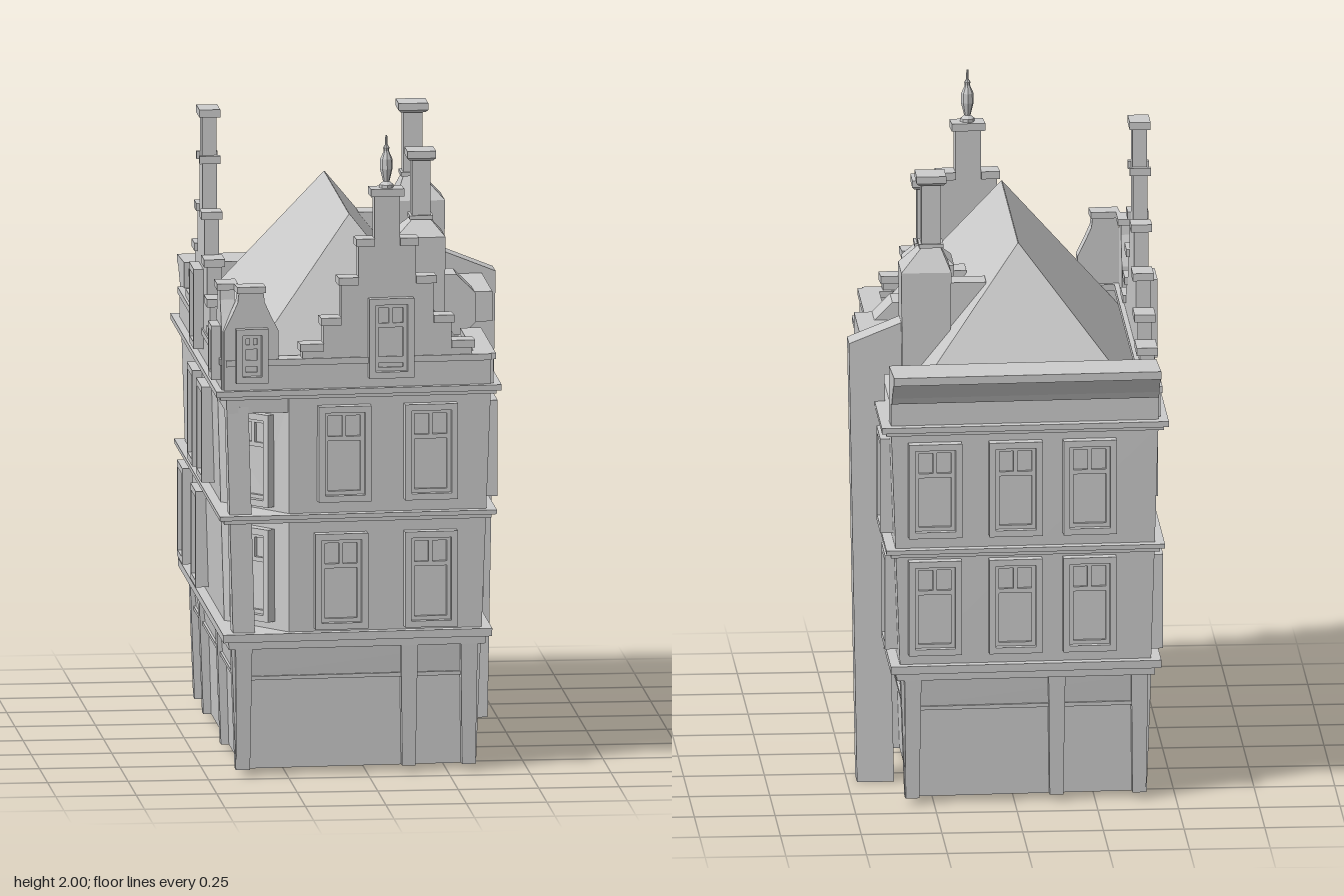
import * as THREE from 'three';

const material = new THREE.MeshStandardMaterial({ color: 0xcccccc, flatShading: true });

// Slightly skewed house outline that widens with height: front-right, front-left, back corners
function outline(y, out = 0) {
  const k = y / 1.2, l = -0.41 - 0.035 * k - out, r = 0.34 + 0.045 * k + out;
  return [
    [l, 0.70 + 0.015 * k + out], [r, 0.66 + 0.01 * k + out],
    [r, -0.645 - 0.02 * k - out], [l, -0.615 - 0.02 * k - out],
  ];
}
const rect = (x0, x1, z0, z1) => [[x0, z1], [x1, z1], [x1, z0], [x0, z0]];

// Solid through convex [x, z] rings, given as [y, ring]
function loft(rings) {
  const pos = [], n = rings[0][1].length;
  const put = (r, i) => pos.push(rings[r][1][i % n][0], rings[r][0], rings[r][1][i % n][1]);
  for (let r = 0; r < rings.length - 1; r++) {
    for (let i = 0; i < n; i++) {
      put(r, i); put(r, i + 1); put(r + 1, i + 1);
      put(r, i); put(r + 1, i + 1); put(r + 1, i);
    }
  }
  const top = rings.length - 1;
  for (let i = 1; i < n - 1; i++) {
    put(top, 0); put(top, i); put(top, i + 1);
    put(0, 0); put(0, i + 1); put(0, i);
  }
  const g = new THREE.BufferGeometry();
  g.setAttribute('position', new THREE.Float32BufferAttribute(pos, 3));
  g.computeVertexNormals();
  return g;
}

function add(parent, name, geometry) {
  const m = new THREE.Mesh(geometry, material);
  m.name = name;
  parent.add(m);
  return m;
}
function box(parent, name, x0, x1, y0, y1, z0, z1) {
  const m = add(parent, name, new THREE.BoxGeometry(x1 - x0, y1 - y0, z1 - z0));
  m.position.set((x0 + x1) / 2, (y0 + y1) / 2, (z0 + z1) / 2);
  return m;
}
function extrude(points, depth, hole) {
  const toVec = (p) => p.map(([x, y]) => new THREE.Vector2(x, y));
  const s = new THREE.Shape(toVec(points));
  if (hole) s.holes.push(new THREE.Path(toVec(hole)));
  return new THREE.ExtrudeGeometry(s, { depth, bevelEnabled: false });
}

// Group on a wall: local x runs along the wall, local z points outward
const SIDES = ['front', 'right', 'back', 'left'];
function onWall(parent, name, side, coord, wallY, y = 0) {
  const o = outline(wallY), i = SIDES.indexOf(side), a = o[i], b = o[(i + 1) % 4];
  const axis = i % 2, t = (coord - a[axis]) / (b[axis] - a[axis]);
  const g = new THREE.Group();
  g.name = name;
  g.position.set(a[0] + (b[0] - a[0]) * t, y, a[1] + (b[1] - a[1]) * t);
  g.rotation.y = Math.atan2(-(b[1] - a[1]), b[0] - a[0]);
  parent.add(g);
  return g;
}

// Deep frame, glass, crossbar and upper mullion
function fillWindow(g, w, h) {
  const r = (a, b) => [[-a, -b], [a, -b], [a, b], [-a, b]];
  add(g, 'windowFrame', extrude(r(w / 2, h / 2), 0.06, r(w / 2 - 0.02, h / 2 - 0.02))).position.z = -0.025;
  const a = w / 2 - 0.02, b = h / 2 - 0.02;
  add(g, 'sash', extrude(r(a, b), 0.025, r(a - 0.012, b - 0.012))).position.z = -0.01;
  box(g, 'glass', -a, a, -b, b, -0.015, 0.003);
  box(g, 'crossbar', -a, a, b * 0.3, b * 0.3 + 0.014, 0, 0.015);
  box(g, 'mullion', -0.006, 0.006, b * 0.3, b, 0, 0.015);
}
const addWindow = (parent, side, coord, y, w = 0.165, h = 0.3) =>
  fillWindow(onWall(parent, 'window', side, coord, y, y), w, h);

// Stepped gable from [halfWidth, topY] pairs, narrowest first
function steppedGable(parent, name, side, coord, steps) {
  const g = onWall(parent, name, side, coord, 1.2);
  const half = [];
  let prev = 0;
  steps.forEach(([w, y], i) => {
    if (i) half.push([prev, y]);
    half.push([w, y]);
    prev = w;
  });
  half.push([prev, 1.2]);
  const pts = [...half, ...half.map(([x, y]) => [-x, y]).reverse()];
  add(g, 'gableWall', extrude(pts, 0.045)).position.z = -0.035;
  steps.forEach(([w, y], i) => {
    const inner = i ? steps[i - 1][0] : 0;
    for (const s of i ? [-1, 1] : [0]) {
      const x0 = s ? Math.min(s * inner, s * (w + 0.008)) : -w - 0.012;
      const x1 = s ? Math.max(s * inner, s * (w + 0.008)) : w + 0.012;
      box(g, 'copingStone', x0, x1, y - 0.008, y + 0.016, -0.045, 0.02);
    }
  });
  return g;
}

// Small shouldered gable with its own window
function smallGable(parent, side, coord) {
  const g = onWall(parent, 'smallGable', side, coord, 1.2);
  const half = [[0.038, 1.525], [0.042, 1.49], [0.06, 1.45], [0.085, 1.40], [0.085, 1.2]];
  add(g, 'gableWall', extrude([...half, ...half.map(([x, y]) => [-x, y]).reverse()], 0.045)).position.z = -0.035;
  box(g, 'copingStone', -0.045, 0.045, 1.52, 1.54, -0.045, 0.02);
  addWindow(parent, side, coord, 1.325, 0.1, 0.17);
}

function parapet(parent, side, from, to, top) {
  const g = onWall(parent, 'parapet', side, (from + to) / 2, 1.2), h = Math.abs(to - from) / 2;
  box(g, 'parapetWall', -h, h, 1.2, top - 0.02, -0.035, 0.008);
  box(g, 'parapetCoping', -h, h, top - 0.02, top, -0.05, 0.015);
}

function chimney(parent, base, shaft, [y0, y1, y2, y3]) {
  const g = new THREE.Group();
  g.name = 'chimney';
  parent.add(g);
  const grow = ([a, b, c, d], e) => rect(a - e, b + e, c - e, d + e);
  add(g, 'chimneyStack', loft([[y0, grow(base, -0.004)], [y1, grow(base, 0)], [y2, grow(shaft, 0)], [y3, grow(shaft, 0)]]));
  add(g, 'chimneyCollar', loft([[y2, grow(shaft, 0.008)], [y2 + 0.012, grow(shaft, 0.008)]]));
  add(g, 'chimneyCap', loft([[y3 - 0.03, grow(shaft, 0.008)], [y3 - 0.022, grow(shaft, 0.016)], [y3, grow(shaft, 0.016)]]));
}

export function createModel() {
  const house = new THREE.Group();
  house.name = 'townhouse';

  // Ground floor: recessed shopfront panels, lintel, pilasters
  add(house, 'shopfrontWall', loft([[0.02, outline(0.02, -0.025)], [0.4, outline(0.4, -0.025)]]));
  add(house, 'lintel', loft([[0.31, outline(0.31, -0.014)], [0.4, outline(0.4, -0.008)]]));
  add(house, 'lintelMoulding', loft([[0.3, outline(0.3, -0.006)], [0.312, outline(0.31, -0.006)]]));
  const pilasters = {
    front: [-0.387, 0.13, 0.317], right: [0.635, 0.0, -0.617],
    back: [0.317, -0.13, -0.387], left: [-0.59, -0.32, 0.22, 0.675],
  };
  for (const side in pilasters) {
    for (const c of pilasters[side]) {
      const g = onWall(house, 'pilaster', side, c, 0);
      add(g, 'pilasterShaft', loft([[0.02, rect(-0.021, 0.021, -0.03, 0)], [0.4, rect(-0.026, 0.026, -0.03, 0.014)]]));
    }
  }

  // Upper floors with a cut front corner forming the loggia
  const cut = (y) => {
    const [fl, fr, br, bl] = outline(y);
    return [[fl[0], 0.47], [-0.245, fl[1] - 0.01], fr, br, bl];
  };
  add(house, 'upperWalls', loft([[0.42, cut(0.42)], [1.19, cut(1.19)]]));
  add(house, 'loggiaBeam', loft([[1.14, outline(1.14, -0.004)], [1.21, outline(1.21, -0.004)]]));
  add(house, 'loggiaPost', loft([0.44, 1.16].map((y) => {
    const [x, z] = outline(y)[0];
    return [y, rect(x + 0.004, x + 0.072, z - 0.075, z - 0.006)];
  })));

  // String courses
  for (const [y0, y1, out] of [[0.4, 0.425, 0.012], [0.425, 0.45, 0.03], [0.795, 0.808, 0.016],
    [0.808, 0.822, 0.03], [1.185, 1.197, 0.016], [1.197, 1.215, 0.03]]) {
    add(house, 'stringCourse', loft([[y0, outline(y0, out)], [y1, outline(y1, out)]]));
  }

  // Windows, as [position along the wall, height]
  const windows = {
    front: [[-0.075, 1.01], [0.195, 1.01], [-0.085, 0.61], [0.195, 0.61]],
    right: [[0.525, 1.0], [0.23, 1.0], [-0.49, 1.0], [0.225, 0.63], [-0.105, 0.63], [-0.495, 0.63]],
    back: [-0.23, 0, 0.25].flatMap((x) => [[x, 1.01], [x, 0.635]]),
    left: [[-0.09, 1.0], [0.2, 1.0], [-0.5, 0.62], [-0.09, 0.62]],
  };
  for (const side in windows) for (const [c, y] of windows[side]) addWindow(house, side, c, y);
  for (const y of [0.62, 0.98]) {
    const g = new THREE.Group();
    g.name = 'loggiaWindow';
    g.position.set(-0.335, y, 0.585);
    g.rotation.y = -0.84;
    fillWindow(g, 0.16, 0.29);
    house.add(g);
  }

  // Hipped roof
  const ridgeZ = [0.425, -0.345];
  add(house, 'roof', loft([
    [1.2, outline(1.2, -0.003)],
    [1.71, rect(-0.031, -0.029, ridgeZ[1], ridgeZ[0])],
  ]));

  // Gables and parapets
  steppedGable(house, 'frontGable', 'front', 0.06, [[0.04, 1.82], [0.09, 1.665], [0.145, 1.545], [0.2, 1.42], [0.265, 1.34]]);
  addWindow(house, 'front', 0.07, 1.37, 0.14, 0.25);
  steppedGable(house, 'sideGable', 'left', 0.075, [[0.036, 1.975], [0.048, 1.83], [0.105, 1.665], [0.185, 1.53], [0.27, 1.42], [0.37, 1.34]]);
  addWindow(house, 'left', 0.075, 1.37, 0.14, 0.25);
  smallGable(house, 'front', -0.365);
  smallGable(house, 'left', 0.62);
  parapet(house, 'front', -0.445, 0.385, 1.31);
  parapet(house, 'left', -0.6, 0.7, 1.31);
  parapet(house, 'right', 0.22, 0.67, 1.31);

  // Turned finial on the front gable
  const finial = [[0, 0], [0.022, 0], [0.022, 0.01], [0.01, 0.02], [0.02, 0.06], [0.019, 0.09], [0.008, 0.115], [0.01, 0.125], [0.004, 0.135], [0.003, 0.164], [0, 0.164]];
  const f = add(onWall(house, 'finial', 'front', 0.06, 1.2, 1.836), 'finialBody',
    new THREE.LatheGeometry(finial.map(([r, y]) => new THREE.Vector2(r, y)), 8));
  f.position.z = -0.012;

  // Back cornice
  const cornice = onWall(house, 'backCornice', 'back', -0.03, 1.2);
  add(cornice, 'corniceMoulding', loft([[1.2, 0], [1.285, 0], [1.29, 0.022], [1.31, 0.03], [1.36, 0.068], [1.365, 0.09], [1.39, 0.09]]
    .map(([y, out]) => [y, rect(-0.415, 0.415, -0.068, out)])));

  // Chimneys with necks running back to the ridge
  chimney(house, [0.18, 0.335, -0.39, -0.24], [0.21, 0.27, -0.347, -0.287], [1.24, 1.63, 1.7, 1.93]);
  chimney(house, [0.15, 0.305, -0.07, 0.075], [0.205, 0.262, -0.027, 0.03], [1.26, 1.57, 1.62, 1.835]);
  box(house, 'chimneyNeck', 0.07, 0.2, 1.4, 1.59, -0.36, -0.28);
  box(house, 'chimneyNeck', 0.11, 0.17, 1.4, 1.545, -0.04, 0.045);

  // Outer flue and its horizontal branch
  const flue = [[0.355, 0], [0.47, 0], [0.495, 1.4], [0.32, 1.47], [0.25, 1.47], [0.25, 1.3], [0.385, 1.3]];
  add(house, 'outerFlue', extrude(flue, 0.088)).position.z = -0.357;
  box(house, 'flueBranch', 0.35, 0.452, 1.3, 1.394, -0.28, 0.055);
  add(house, 'flueElbow', extrude([[0.26, 1.26], [0.36, 1.26], [0.4, 1.3], [0.4, 1.39], [0.34, 1.45], [0.26, 1.45]], 0.11)).position.z = -0.05;

  return house;
}
